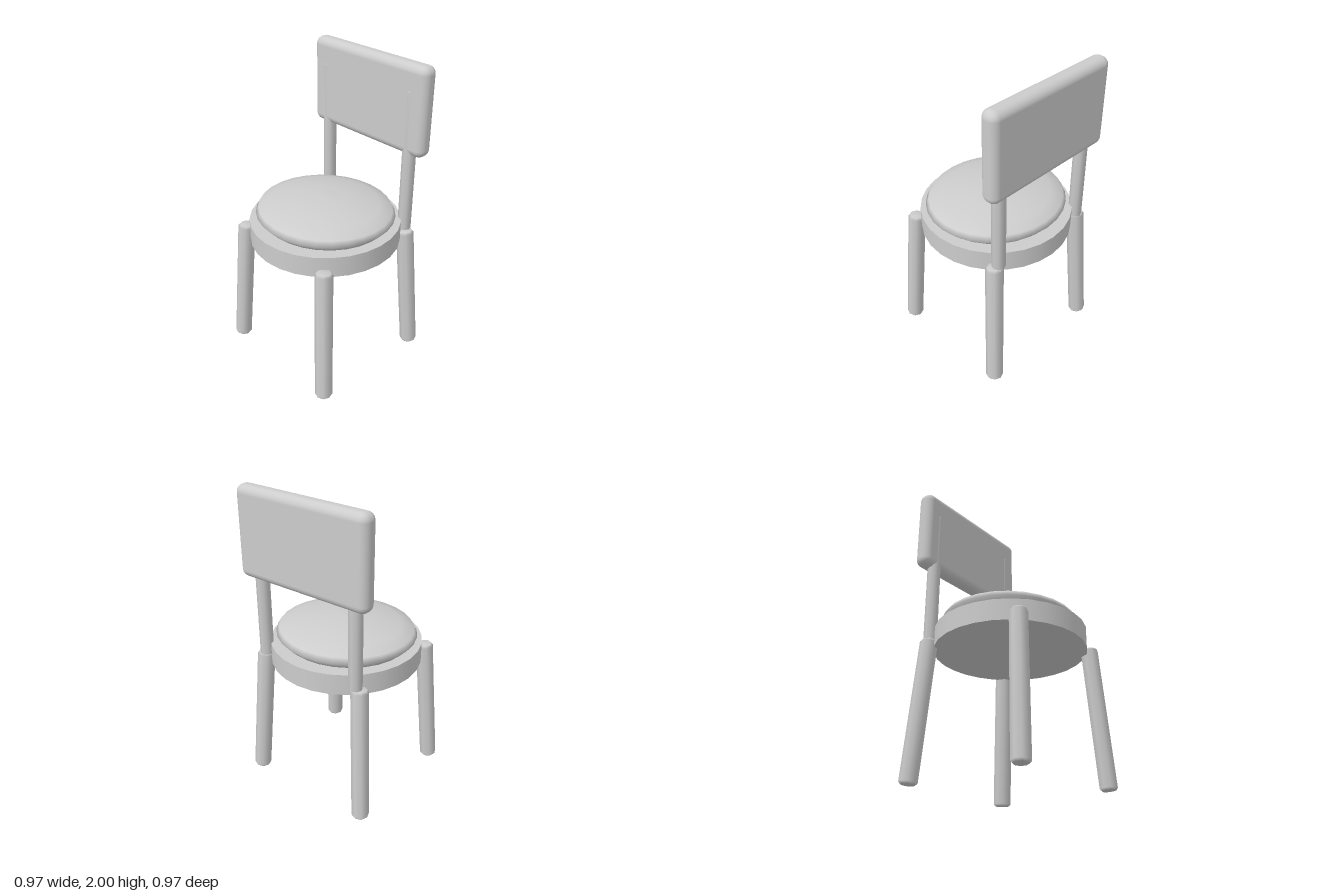
import * as THREE from 'three';
import { RoundedBoxGeometry } from 'three/addons/geometries/RoundedBoxGeometry.js';

const grey = new THREE.MeshStandardMaterial({ color: 0xcccccc });
grey.name = 'plain grey';

export function createModel() {
  const chair = new THREE.Group();
  chair.name = 'chair';

  const add = (name, geometry, x = 0, y = 0, z = 0) => {
    const mesh = new THREE.Mesh(geometry, grey);
    mesh.name = name;
    mesh.position.set(x, y, z);
    chair.add(mesh);
    return mesh;
  };
  const lathe = (points, sides) =>
    new THREE.LatheGeometry(points.map(([r, y]) => new THREE.Vector2(r, y)), sides);

  // round seat base
  add('seatBase', new THREE.CylinderGeometry(0.486, 0.486, 0.135, 28), 0, 0.9225, 0);

  // domed cushion, a little narrower front to back
  const cushion = add('cushion', lathe([
    [0, 0.99], [0.415, 0.99], [0.46, 1.035], [0.44, 1.07],
    [0.36, 1.098], [0.24, 1.122], [0.13, 1.136], [0, 1.14],
  ], 28));
  cushion.scale.z = 0.945;

  // backrest pad
  add('backrest', new RoundedBoxGeometry(0.936, 0.565, 0.115, 4, 0.05), 0, 1.7175, -0.3875);

  const up = new THREE.Vector3(0, 1, 0);
  for (const [sx, side] of [[1, 'left'], [-1, 'right']]) {
    // upright that carries the backrest
    add(side + 'Post', lathe([
      [0, 0.915], [0.043, 0.915], [0.043, 1.83], [0.037, 1.85], [0, 1.85],
    ], 8), sx * 0.353, 0, -0.368);

    // splayed legs with slightly bevelled ends
    for (const [sz, end] of [[1, 'Front'], [-1, 'Back']]) {
      const foot = new THREE.Vector3(sx * 0.428, 0.004, sz * 0.407);
      const top = new THREE.Vector3(sx * 0.374, 0.908, sz * 0.354);
      const length = top.distanceTo(foot);
      const leg = add(side + end + 'Leg', lathe([
        [0, 0], [0.044, 0], [0.056, 0.014],
        [0.056, length - 0.014], [0.044, length], [0, length],
      ], 8));
      leg.position.copy(foot);
      leg.quaternion.setFromUnitVectors(up, top.sub(foot).normalize());
    }
  }
  return chair;
}
